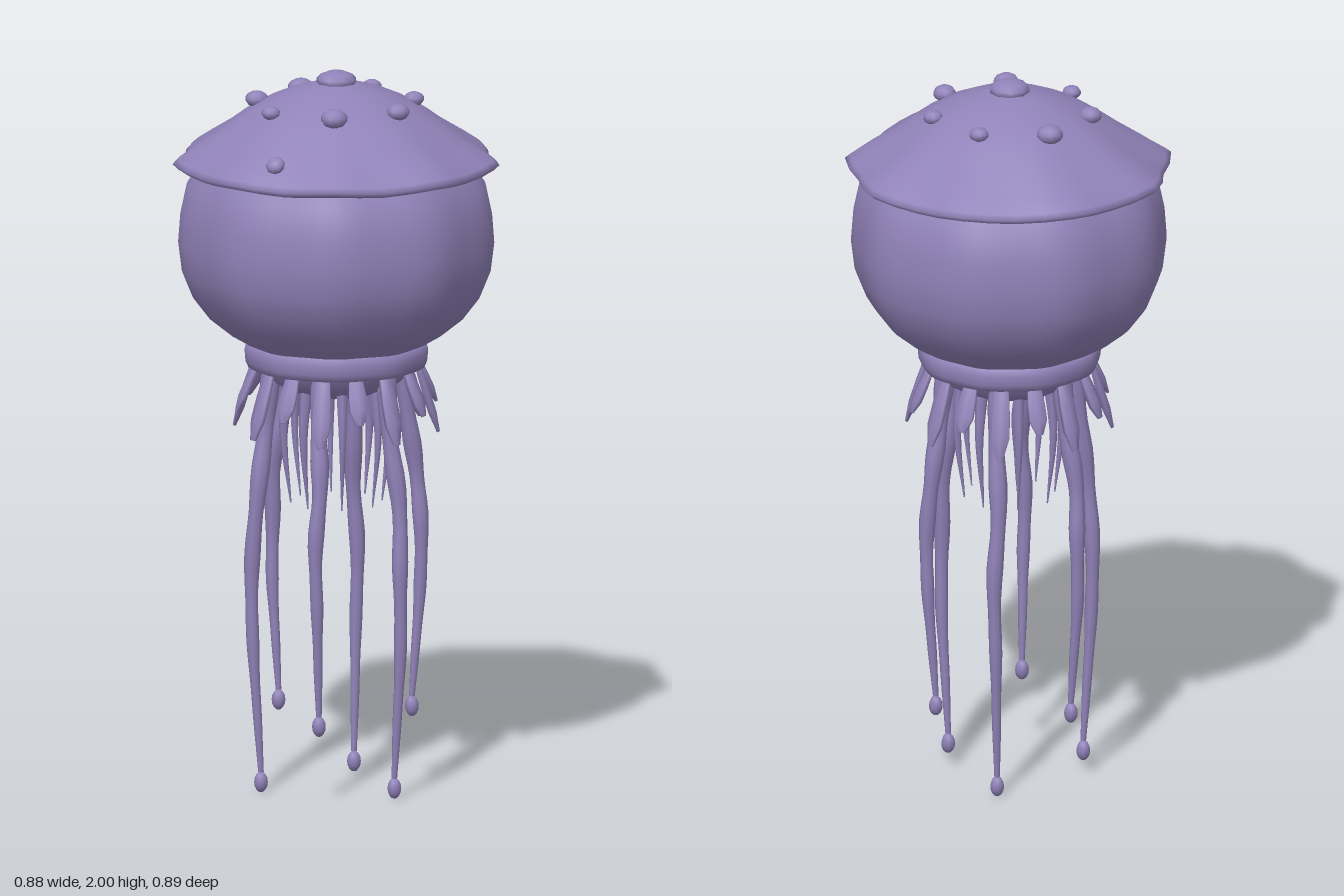
import * as THREE from 'three';
import { mergeVertices } from 'three/addons/utils/BufferGeometryUtils.js';

const LOBES = 9;

// Merge the seams and smooth the normals of a deformed geometry
function smooth(geo) {
  geo.deleteAttribute('uv');
  geo.deleteAttribute('normal');
  const merged = mergeVertices(geo, 1e-5);
  merged.computeVertexNormals();
  return merged;
}

// Lathe a profile through a spline, then ripple it with lobes
function rippledLathe(points, ripple, segments = 36) {
  const geo = new THREE.LatheGeometry(points.map(([r, y]) => new THREE.Vector2(r, y)), segments);
  const p = geo.attributes.position;
  for (let i = 0; i < p.count; i++) {
    const x = p.getX(i), y = p.getY(i), z = p.getZ(i);
    const { scale, lift } = ripple(Math.cos(LOBES * Math.atan2(z, x)), Math.hypot(x, z), y);
    p.setXYZ(i, x * scale, y + lift, z * scale);
  }
  return smooth(geo);
}

// Tube along a curve whose radius follows a rule of t
function taperedTube(curve, radiusAt, steps = 28, sides = 8) {
  const geo = new THREE.TubeGeometry(curve, steps, 1, sides);
  const p = geo.attributes.position;
  const v = new THREE.Vector3();
  for (let i = 0; i < p.count; i++) {
    const t = Math.floor(i / (sides + 1)) / steps;
    const c = curve.getPointAt(t);
    v.fromBufferAttribute(p, i).sub(c).multiplyScalar(radiusAt(t)).add(c);
    p.setXYZ(i, v.x, v.y, v.z);
  }
  return smooth(geo);
}

export function createModel() {
  const root = new THREE.Group();
  const skin = new THREE.MeshStandardMaterial({ color: 0x9082b8, side: THREE.DoubleSide });
  skin.name = 'lavender skin';

  const add = (name, geo, parent = root) => {
    const mesh = new THREE.Mesh(geo, skin);
    mesh.name = name;
    parent.add(mesh);
    return mesh;
  };
  const addGroup = (name) => {
    const g = new THREE.Group();
    g.name = name;
    root.add(g);
    return g;
  };

  // Round, softly ribbed body
  add('body', rippledLathe(
    [[0.2, 1.22], [0.24, 1.245], [0.29, 1.275], [0.345, 1.32], [0.39, 1.38], [0.418, 1.45], [0.428, 1.53],
      [0.422, 1.61], [0.405, 1.69], [0.36, 1.76], [0.27, 1.83], [0, 1.87]],
    (w) => ({ scale: 1 + 0.014 * w, lift: 0 }), 72));

  // Cap with a scalloped, thin rim and hollow underside
  add('cap', rippledLathe(
    [[0.3, 1.8], [0.37, 1.745], [0.4, 1.728], [0.425, 1.735], [0.437, 1.748], [0.425, 1.76], [0.385, 1.79],
      [0.32, 1.834], [0.26, 1.878], [0.2, 1.914], [0.13, 1.945], [0.06, 1.965], [0, 1.972]],
    (w, r) => {
      const k = Math.pow(r / 0.437, 3);
      return { scale: 1 + 0.034 * w * k, lift: 0.006 * w * k };
    }));

  // Warts on the cap: x, z, radius, height of centre
  const warts = addGroup('warts');
  [[0, 0, 0.056, 1.972], [0.012, -0.22, 0.037, 1.91], [-0.165, -0.15, 0.032, 1.91],
    [0.18, -0.125, 0.027, 1.914], [-0.223, 0.033, 0.026, 1.91], [0.206, 0.065, 0.028, 1.912],
    [-0.114, 0.192, 0.037, 1.912], [0.077, 0.206, 0.032, 1.914], [-0.308, 0.21, 0.027, 1.806],
  ].forEach(([x, z, r, y]) => {
    const wart = add('wart', new THREE.SphereGeometry(r, 9, 7), warts);
    wart.position.set(x, y, z);
    wart.scale.y = r > 0.05 ? 0.5 : 0.72;
    if (Math.hypot(x, z) > 0.3) {
      wart.quaternion.setFromUnitVectors(new THREE.Vector3(0, 1, 0), new THREE.Vector3(x, 0.5, z).normalize());
    }
  });

  // Collar and the rounded underside below it
  add('collar', rippledLathe(
    [[0.22, 1.18], [0.24, 1.182], [0.248, 1.2], [0.25, 1.225], [0.244, 1.248], [0.22, 1.253]],
    (w) => ({ scale: 1 + 0.012 * w, lift: 0 })));
  add('underside', rippledLathe(
    [[0, 1.095], [0.07, 1.1], [0.13, 1.116], [0.18, 1.143], [0.215, 1.185], [0.22, 1.22]],
    () => ({ scale: 1, lift: 0 })));

  // Flaring frill of flattened, blunt petals
  const frill = addGroup('frill');
  const petals = 16;
  for (let i = 0; i < petals; i++) {
    const holder = new THREE.Group();
    holder.name = 'petalHolder';
    holder.rotation.y = (i + 0.3) / petals * Math.PI * 2;
    frill.add(holder);
    const long = i % 2 === 0;
    const len = long ? 0.2 : 0.14;
    const shape = [[0, -1], [0.011, -1], [0.028, -0.72], [0.027, -0.4], [0.02, 0], [0, 0]];
    const geo = new THREE.LatheGeometry(shape.map(([r, y]) => new THREE.Vector2(r, y * len)), 6);
    geo.scale(1, 1, 0.42);
    const petal = add('petal', geo, holder);
    petal.position.set(0, 1.195, 0.222);
    petal.rotation.x = long ? -0.3 : -0.42;
  }

  // Short inner feelers, thin spikes hanging below the dome
  const feelers = addGroup('feelers');
  for (let i = 0; i < 8; i++) {
    const a = (i + 0.5) / 8 * Math.PI * 2;
    const at = (r, y) => new THREE.Vector3(r * Math.cos(a), y, r * Math.sin(a));
    const curve = new THREE.CatmullRomCurve3([at(0.13, 1.16), at(0.145, 1.0), at(0.125, 0.8)]);
    add('feeler', taperedTube(curve, (t) => 0.017 * (1 - t) + 0.002, 10, 6), feelers);
  }

  // Six long knobbly tentacles, alternating in length, each ending in a bulb
  const tentacles = addGroup('tentacles');
  for (let i = 0; i < 6; i++) {
    const a = (12 + 60 * i) * Math.PI / 180;
    const end = i % 2 ? 0.06 : 0.245;
    const at = (r, t, sway) => new THREE.Vector3(
      r * Math.cos(a) - sway * Math.sin(a), 1.19 + (end - 1.19) * t, r * Math.sin(a) + sway * Math.cos(a));
    const curve = new THREE.CatmullRomCurve3([
      at(0.185, 0, 0), at(0.2, 0.15, 0.004), at(0.228, 0.33, -0.006), at(0.24, 0.5, 0.004),
      at(0.238, 0.68, 0), at(0.226, 0.85, 0), at(0.215, 1, 0)]);
    add('tentacle', taperedTube(curve, (t) =>
      0.025 - 0.017 * t * t + 0.0035 * Math.sin(t * 30) * (1 - t)), tentacles);
    const bulb = add('tentacleBulb', new THREE.SphereGeometry(0.019, 9, 8), tentacles);
    bulb.scale.y = 1.5;
    bulb.position.copy(at(0.215, 1, 0)).y = end - 0.028;
  }

  return root;
}
